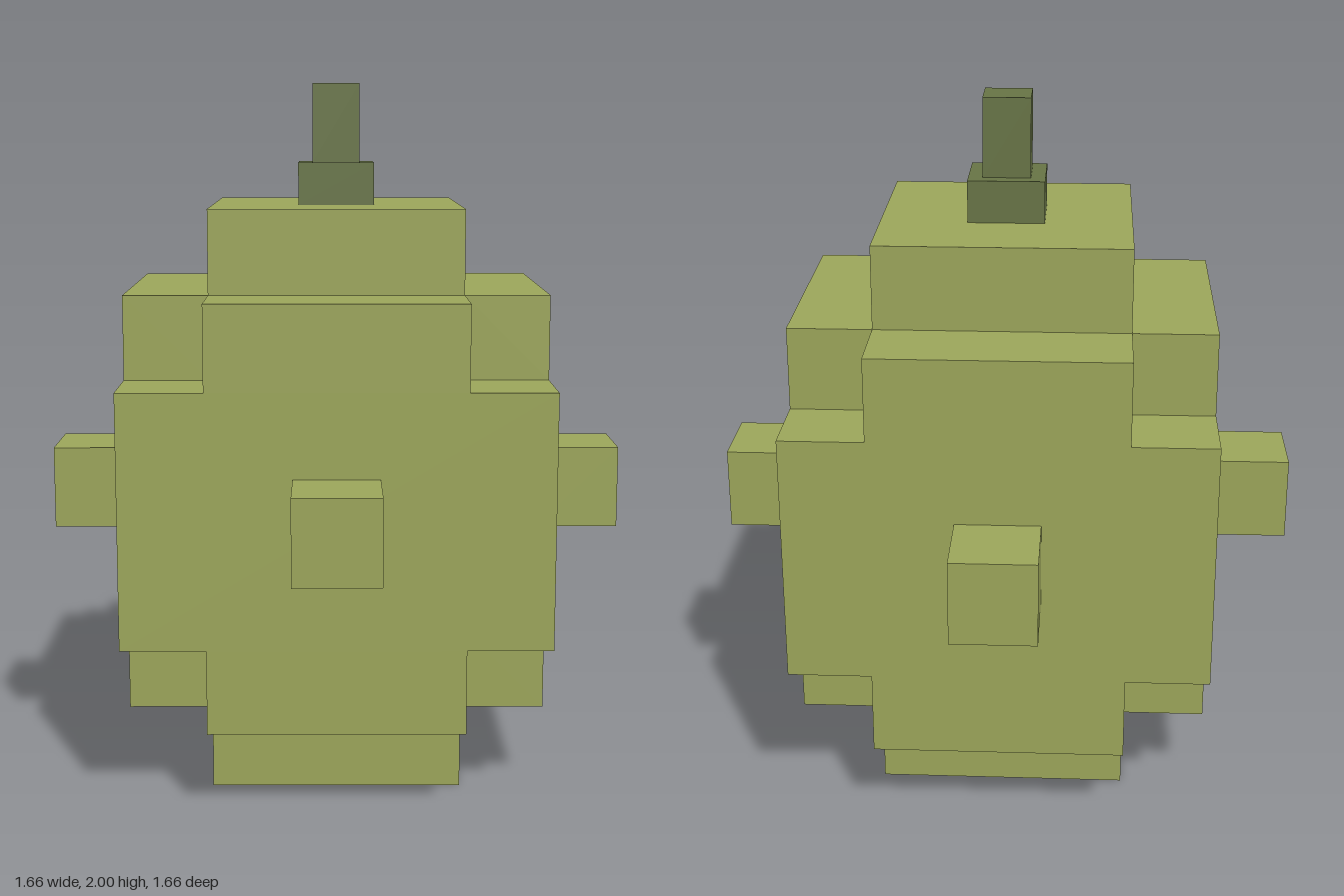
import * as THREE from 'three';

const U = 0.2365; // one block of the body grid

export function createModel() {
  const model = new THREE.Group();
  const shell = new THREE.MeshStandardMaterial({ color: 0x9da75b });
  shell.name = 'olive shell';
  const dark = new THREE.MeshStandardMaterial({ color: 0x687546 });
  dark.name = 'dark fuse green';

  function add(name, geometry, material, x, y, z) {
    const mesh = new THREE.Mesh(geometry, material);
    mesh.name = name;
    mesh.position.set(x, y, z);
    model.add(mesh);
  }

  // Square block standing between two heights
  function block(name, width, y0, y1, material) {
    add(name, new THREE.BoxGeometry(width, y1 - y0, width), material, 0, (y0 + y1) / 2, 0);
  }

  // Plus-shaped layer: a square with its four corner blocks cut away
  function crossLayer(name, y0) {
    const a = 2.5 * U, b = 1.5 * U;
    const outline = [[b, a], [-b, a], [-b, b], [-a, b], [-a, -b], [-b, -b],
      [-b, -a], [b, -a], [b, -b], [a, -b], [a, b], [b, b]];
    const shape = new THREE.Shape(outline.map(([x, y]) => new THREE.Vector2(x, y)));
    const geometry = new THREE.ExtrudeGeometry(shape, { depth: U, bevelEnabled: false });
    geometry.rotateX(-Math.PI / 2);
    add(name, geometry, shell, 0, y0, 0);
  }

  // Stepped body, bottom to top
  block('bottomCap', 3 * U, 0, U, shell);
  crossLayer('lowerStep', U);
  block('bodyBelt', 5 * U, 2 * U, 5 * U, shell);
  crossLayer('upperStep', 5 * U);
  block('topCap', 3 * U, 6 * U, 7 * U, shell);

  // One stud on each side
  for (const [name, x, z] of [['frontStud', 0, 1], ['backStud', 0, -1], ['leftStud', 1, 0], ['rightStud', -1, 0]]) {
    add(name, new THREE.BoxGeometry(U, U, U), shell, x * 3 * U, 0.83, z * 3 * U);
  }

  // Fuse on top
  block('fuseBase', 0.217, 7 * U, 1.775, dark);
  block('fuse', 0.135, 1.775, 2, dark);

  return model;
}
